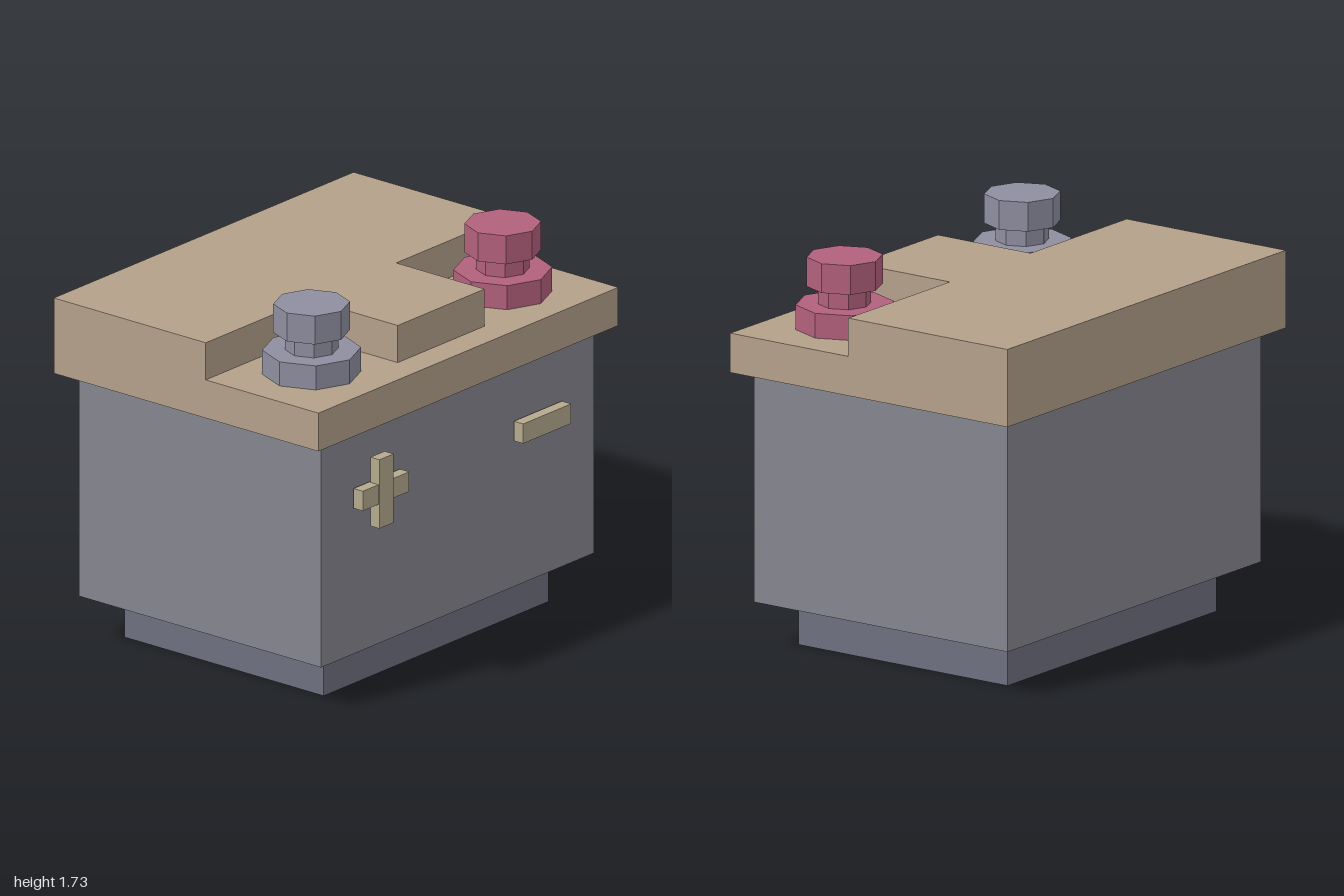
import * as THREE from 'three';

const paint = (color) => new THREE.MeshStandardMaterial({ color, flatShading: true });

// Box given by its lower and upper limits on each axis
function block(name, material, [x0, x1], [y0, y1], [z0, z1]) {
  const mesh = new THREE.Mesh(new THREE.BoxGeometry(x1 - x0, y1 - y0, z1 - z0), material);
  mesh.position.set((x0 + x1) / 2, (y0 + y1) / 2, (z0 + z1) / 2);
  mesh.name = name;
  return mesh;
}

// Eight-sided terminal post: wide foot, narrow neck, broad head
function terminal(name, material, x) {
  const profile = [
    [0, 0], [0.213, 0], [0.213, 0.11], [0.115, 0.11],
    [0.115, 0.19], [0.165, 0.19], [0.165, 0.32], [0, 0.32],
  ].map(([r, y]) => new THREE.Vector2(r, y));
  const mesh = new THREE.Mesh(new THREE.LatheGeometry(profile, 8), material);
  mesh.position.set(x, 1.41, 0.395);
  mesh.name = name;
  return mesh;
}

export function createModel() {
  const model = new THREE.Group();
  model.name = 'battery';
  const caseGrey = paint(0x85858f);
  const baseGrey = paint(0x6f7080);
  const tan = paint(0xb3a08a);
  const cream = paint(0xb5aa8e);

  // Case and recessed foot
  model.add(block('base', baseGrey, [-0.75, 0.75], [0, 0.205], [-0.56, 0.555]));
  model.add(block('case', caseGrey, [-0.91, 0.91], [0.205, 1.235], [-0.68, 0.675]));

  // Lid: full slab below, raised T-shaped part above leaving two front corners low
  const lid = new THREE.Group();
  lid.name = 'lid';
  lid.add(block('lidSlab', tan, [-1, 1], [1.235, 1.41], [-0.745, 0.735]));
  const outline = [
    [-1, 0.745], [-1, -0.105], [-0.31, -0.105], [-0.31, -0.6],
    [0.27, -0.6], [0.27, -0.105], [1, -0.105], [1, 0.745],
  ].map(([x, y]) => new THREE.Vector2(x, y));
  const raised = new THREE.Mesh(
    new THREE.ExtrudeGeometry(new THREE.Shape(outline), { depth: 0.17, bevelEnabled: false }), tan);
  raised.rotation.x = -Math.PI / 2;
  raised.position.y = 1.41;
  raised.name = 'lidRaisedPart';
  lid.add(raised);
  model.add(lid);

  // Terminals
  model.add(terminal('greyTerminal', paint(0x8e8ea0), -0.64));
  model.add(terminal('redTerminal', paint(0xb2607c), 0.635));

  // Plus and minus marks standing just off the front
  const plus = new THREE.Group();
  plus.name = 'plusMark';
  plus.add(block('plusUpright', cream, [-0.605, -0.51], [0.77, 1.085], [0.695, 0.745]));
  plus.add(block('plusCrossbar', cream, [-0.71, -0.4], [0.88, 0.97], [0.688, 0.74]));
  model.add(plus);
  model.add(block('minusMark', cream, [0.36, 0.68], [0.88, 0.97], [0.688, 0.74]));

  return model;
}
